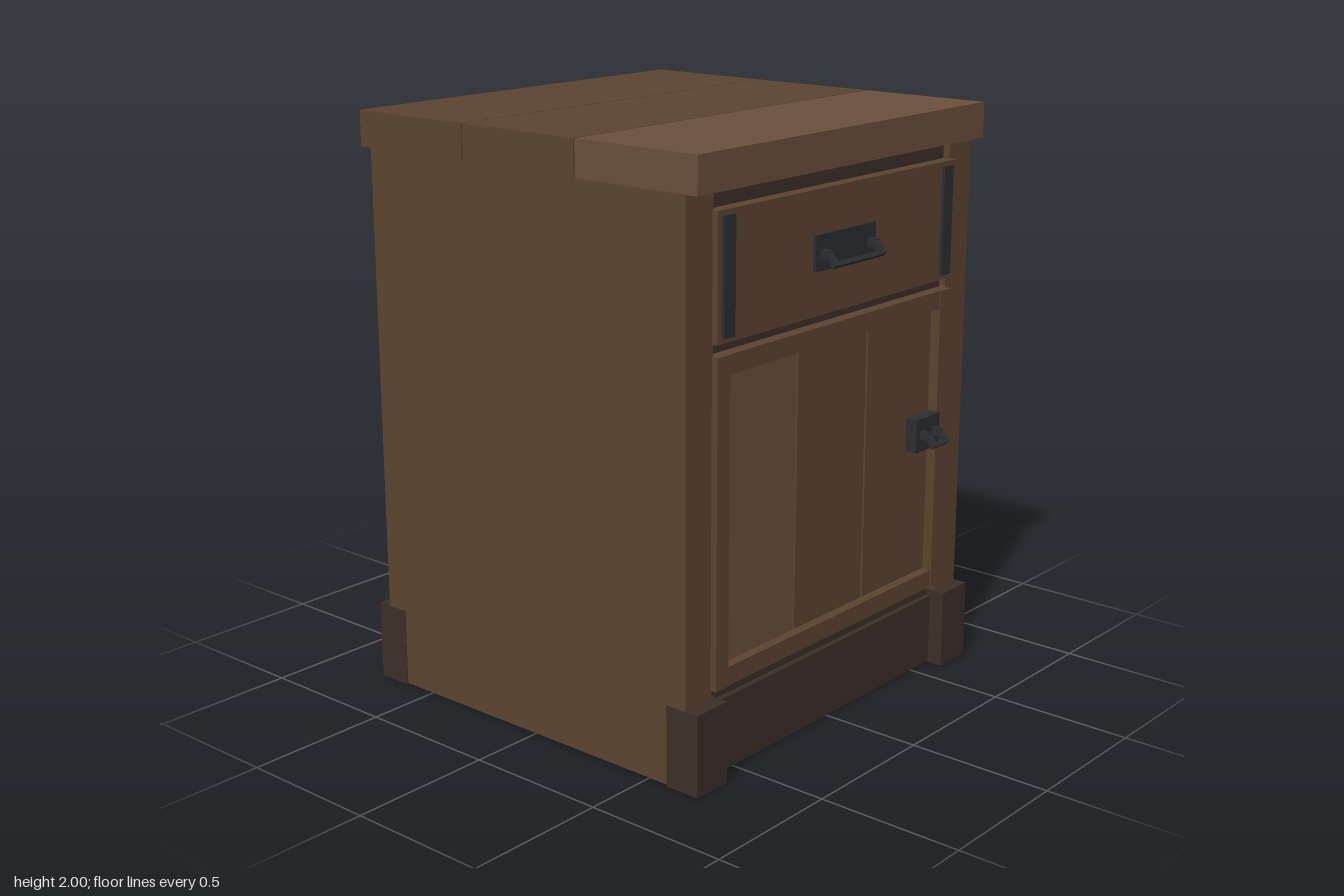
import * as THREE from 'three';

const mat = (color) => new THREE.MeshStandardMaterial({ color });

export function createModel() {
  const model = new THREE.Group();
  const wood = mat(0x5c4430), lightWood = mat(0x6b4f3c), darkWood = mat(0x3d2f28), iron = mat(0x2d2e30);

  // Box given by its extents on each axis
  function box(name, material, [x0, x1], [y0, y1], [z0, z1], parent = model) {
    const mesh = new THREE.Mesh(new THREE.BoxGeometry(x1 - x0, y1 - y0, z1 - z0), material);
    mesh.position.set((x0 + x1) / 2, (y0 + y1) / 2, (z0 + z1) / 2);
    mesh.name = name;
    parent.add(mesh);
    return mesh;
  }

  // Three-plank top
  [[0.221, 0.702], [-0.262, 0.216], [-0.745, -0.267]].forEach((z, i) =>
    box('topPlank', i === 0 ? lightWood : wood, [-0.748, 0.748], [1.88, 2], z));

  // Sides and corner feet
  for (const s of [-1, 1]) {
    const span = (a, b) => (s > 0 ? [a, b] : [-b, -a]);
    box('sidePanel', wood, span(0.62, 0.746), [0.005, 1.88], [-0.7, 0.655]);
    box('frontFoot', darkWood, span(0.603, 0.749), [0, 0.275], [0.58, 0.705]);
    box('backFoot', darkWood, span(0.603, 0.749), [0, 0.275], [-0.747, -0.62]);
  }

  // Carcass: back, floor, inner top, front backing and plinth
  box('backPanel', darkWood, [-0.62, 0.62], [0.02, 1.88], [-0.696, -0.6]);
  box('floorPanel', darkWood, [-0.62, 0.62], [0.12, 0.16], [-0.6, 0.56]);
  box('innerTop', darkWood, [-0.62, 0.62], [1.84, 1.88], [-0.6, 0.56]);
  box('frontBacking', darkWood, [-0.62, 0.62], [0.12, 1.88], [0.56, 0.63]);
  box('plinth', darkWood, [-0.605, 0.605], [0.005, 0.253], [0.56, 0.65]);

  // Drawer front with iron end straps
  const drawer = new THREE.Group();
  drawer.name = 'drawer';
  model.add(drawer);
  box('drawerFront', wood, [-0.625, 0.625], [1.415, 1.818], [0.62, 0.675], drawer);
  for (const x of [[-0.605, -0.553], [0.547, 0.6]])
    box('drawerStrap', iron, x, [1.432, 1.802], [0.67, 0.686], drawer);

  // Door: frame around three recessed planks
  const door = new THREE.Group();
  door.name = 'door';
  model.add(door);
  for (const x of [[-0.625, -0.565], [0.562, 0.625]])
    box('doorStile', wood, x, [0.305, 1.376], [0.62, 0.677], door);
  for (const y of [[0.305, 0.368], [1.312, 1.376]])
    box('doorRail', wood, [-0.565, 0.562], y, [0.62, 0.673], door);
  [[-0.562, -0.195], [-0.186, 0.182], [0.191, 0.559]].forEach((x, i) =>
    box('doorPlank', i === 0 ? lightWood : wood, x, [0.371, 1.309], [0.62, 0.643], door));

  // Bent iron pull on a back plate
  function pull(name, plateX, plateY, x0, x1, y) {
    const g = new THREE.Group();
    g.name = name;
    model.add(g);
    box('handlePlate', iron, plateX, plateY, [0.64, 0.686], g);
    const r = 0.01;
    for (const x of [x0, x1]) {
      box('handlePost', iron, [x - r, x + r], [y - 0.014, y + 0.014], [0.68, 0.718], g);
      const arm = box('handleArm', iron, [x - r, x + r], [y - 0.04, y + 0.012], [0.718, 0.735], g);
      arm.rotation.x = -0.7;
    }
    const bar = box('handleBar', iron, [x0 - r, x1 + r], [y - 0.038, y - 0.022], [0.727, 0.743], g);
    bar.rotation.x = -0.7;
  }
  pull('drawerHandle', [-0.16, 0.157], [1.56, 1.676], -0.127, 0.122, 1.615);
  pull('doorHandle', [0.428, 0.568], [0.832, 0.95], 0.46, 0.531, 0.892);

  return model;
}
